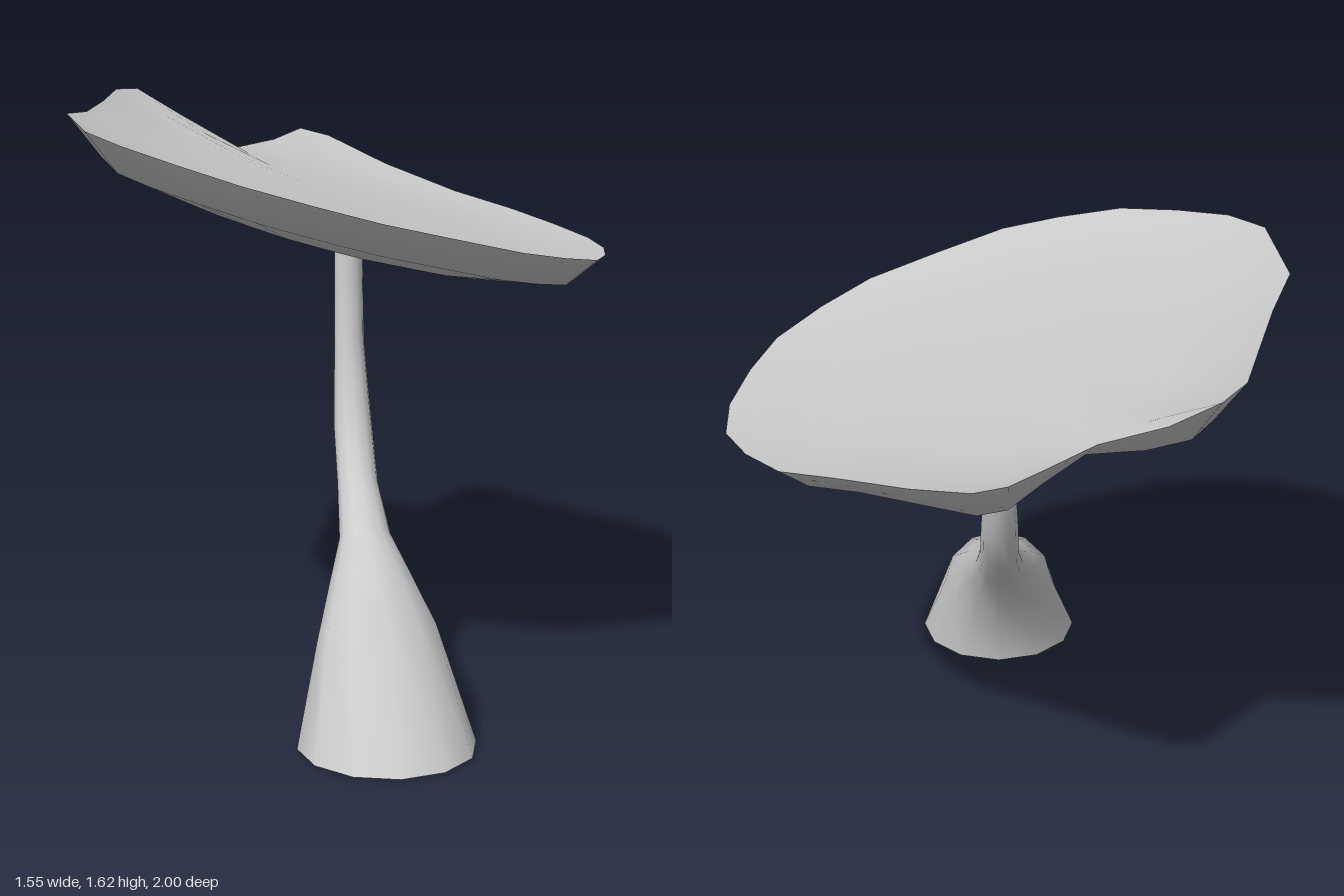
import * as THREE from 'three';

// Skin a stack of closed rings (arrays of Vector3 of equal length).
function loft(rings) {
  const n = rings[0].length, index = [];
  for (let r = 0; r < rings.length - 1; r++) {
    for (let i = 0; i < n; i++) {
      const j = (i + 1) % n, a = r * n + i, b = r * n + j;
      index.push(a, b, a + n, b, b + n, a + n);
    }
  }
  const geo = new THREE.BufferGeometry().setFromPoints(rings.flat());
  geo.setIndex(index);
  geo.computeVertexNormals();
  return geo;
}

// Leaf outline seen from above: x, z, lift above the tilted rim plane.
const outline = [
  [0, 0.74, 0], [-0.17, 0.72, 0], [-0.35, 0.67, 0], [-0.51, 0.55, 0], [-0.65, 0.42, 0],
  [-0.74, 0.27, 0], [-0.775, -0.08, 0], [-0.71, -0.28, 0], [-0.65, -0.53, 0.02],
  [-0.6, -0.75, 0.045], [-0.53, -0.845, 0.055], [-0.4, -0.82, 0.01], [-0.23, -0.73, -0.04],
  [-0.1, -0.87, 0], [0, -1, 0.045], [0.09, -0.99, 0.045], [0.25, -0.83, 0.015],
  [0.44, -0.65, 0], [0.6, -0.53, 0], [0.7, -0.38, 0], [0.768, -0.22, 0], [0.773, -0.04, 0],
  [0.73, 0.16, 0], [0.665, 0.34, 0], [0.54, 0.49, 0], [0.4, 0.61, 0], [0.2, 0.68, 0],
];

// Leaf sections: fraction of the outline, depth below the rim plane, share of the lift.
const topSection = [[0, 0.05, 0], [0.35, 0.049, 0], [0.66, 0.042, 0.1], [0.87, 0.022, 0.5], [1, 0, 1]];
const underSection = [[1, 0, 1], [0.88, 0.097, 0.25], [0.59, 0.144, 0], [0.3, 0.145, 0], [0, 0.145, 0]];

// Stem rings: front edge (z, y), back edge (z, y), half width in x.
const stemRings = [
  [1, 0, 0.515, 0.015, 0.243],
  [0.73, 0.37, 0.49, 0.14, 0.17],
  [0.56, 0.445, 0.38, 0.33, 0.115],
  [0.4, 0.515, 0.3, 0.43, 0.073],
  [0.24, 0.63, 0.16, 0.555, 0.058],
  [0.15, 0.76, 0.05, 0.72, 0.055],
  [0.06, 0.98, -0.01, 0.95, 0.043],
  [0.05, 1.3, -0.035, 1.3, 0.04],
];

export function createModel() {
  const group = new THREE.Group();
  const add = (name, geo) => {
    const mesh = new THREE.Mesh(geo, new THREE.MeshStandardMaterial({ color: 0xcccccc }));
    mesh.name = name;
    group.add(mesh);
  };

  // Tilted leaf pad, notched at the back: slightly hollow top over a deeper underside
  const leafSkin = (section) => loft(section.map(([s, depth, share]) => outline.map(([x, z, lift]) =>
    new THREE.Vector3(x * s, 1.415 - 0.265 * x * s - depth + lift * share, z * s))));
  add('leafTop', leafSkin(topSection));
  add('leafUnderside', leafSkin(underSection));

  // Curved stem flaring towards its foot
  const sides = 12;
  const stem = stemRings.map(([z0, y0, z1, y1, w]) => Array.from({ length: sides }, (_, i) => {
    const t = (i / sides) * Math.PI * 2, k = (1 + Math.cos(t)) / 2;
    return new THREE.Vector3(0.015 + w * Math.sin(t), y1 + (y0 - y1) * k, z1 + (z0 - z1) * k);
  }));
  add('stem', loft(stem));

  // Flat underside of the foot
  const centre = new THREE.Vector3(0.015, 0.0075, 0.7575);
  add('stemBase', loft([stem[0].map(() => centre), stem[0]]));

  return group;
}
